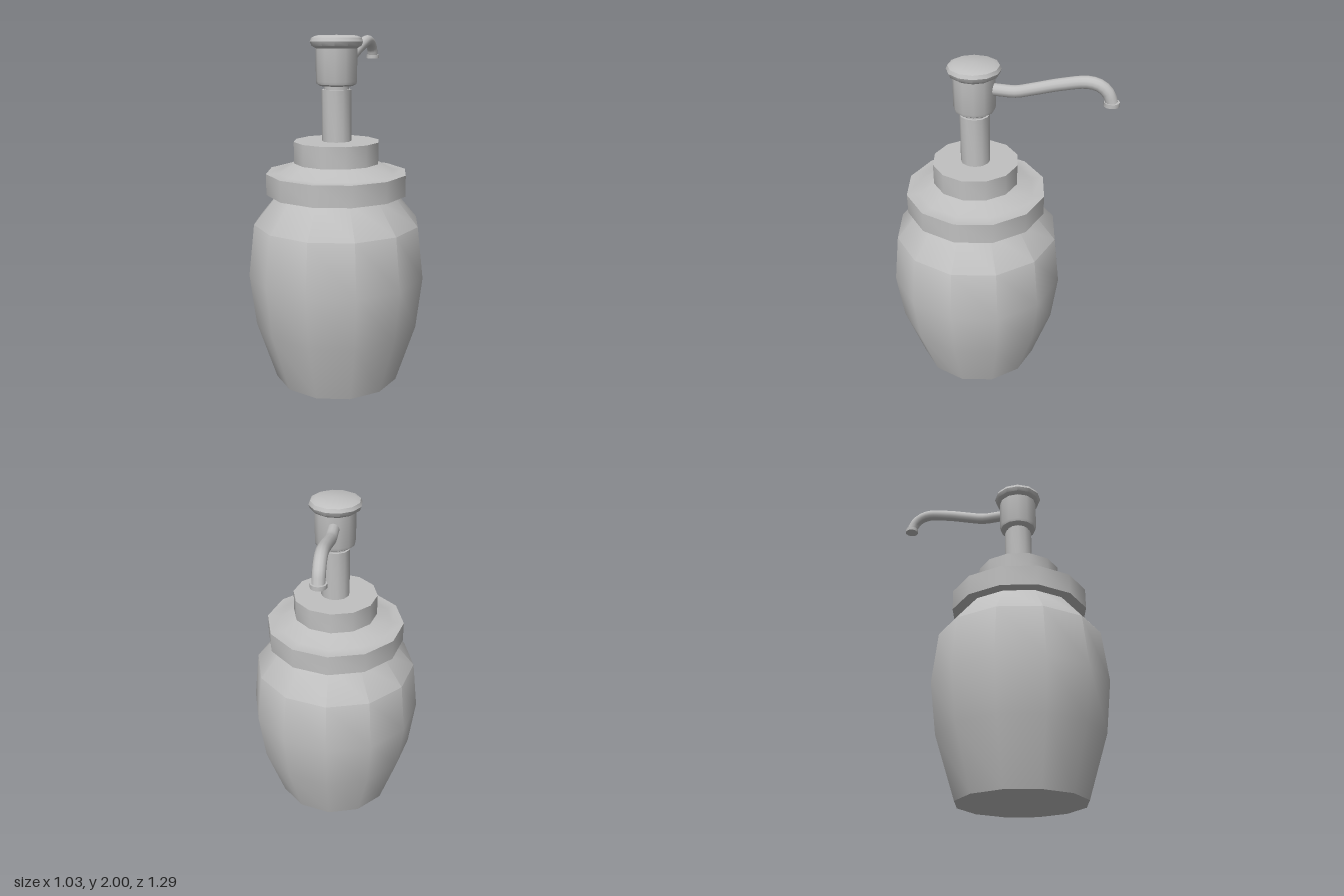
import * as THREE from 'three';
import { toCreasedNormals } from 'three/addons/utils/BufferGeometryUtils.js';

const grey = new THREE.MeshStandardMaterial({ color: 0xc0c0c0 });
grey.name = 'plain grey';

const AXIS_Z = 0.13; // the bottle stands forward of the centre, the spout reaches back

// Twelve-sided turned part, profile given bottom to top as [radius, height]
function turned(name, profile, turn = 0) {
  const points = profile.map(([r, y]) => new THREE.Vector2(r, y));
  const geometry = toCreasedNormals(new THREE.LatheGeometry(points, 12, turn), 0.72);
  const mesh = new THREE.Mesh(geometry, grey);
  mesh.name = name;
  mesh.position.z = AXIS_Z;
  return mesh;
}

export function createModel() {
  const group = new THREE.Group();
  group.name = 'soapDispenser';
  const half = Math.PI / 12;

  // Barrel-shaped bottle
  group.add(turned('bottle', [
    [0, 0], [0.367, 0], [0.48, 0.35], [0.515, 0.65], [0.48, 0.95], [0.335, 1.125], [0, 1.125],
  ]));

  // Screw collar with a sloping shoulder, and the cap above it
  group.add(turned('collar', [
    [0, 1.12], [0.405, 1.12], [0.405, 1.24], [0.335, 1.24], [0.235, 1.298], [0, 1.298],
  ]));
  group.add(turned('cap', [[0, 1.295], [0.245, 1.295], [0.245, 1.417], [0, 1.417]]));

  // Pump stem and its narrow neck
  group.add(turned('stem', [[0, 1.41], [0.083, 1.41], [0.083, 1.705], [0, 1.705]], half));
  group.add(turned('neck', [[0.07, 1.7], [0.07, 1.735]], half));

  // Pump head and rounded press knob
  group.add(turned('pumpHead', [
    [0, 1.725], [0.095, 1.725], [0.11, 1.734], [0.115, 1.75], [0.115, 1.94],
  ], half));
  group.add(turned('pressKnob', [
    [0, 1.928], [0.115, 1.928], [0.138, 1.942], [0.147, 1.965], [0.138, 1.985], [0.11, 1.997], [0, 2],
  ], half));

  // Curved spout
  const path = new THREE.CatmullRomCurve3([
    [1.862, 0.05], [1.862, -0.02], [1.865, -0.1], [1.89, -0.19], [1.935, -0.34],
    [1.963, -0.48], [1.948, -0.545], [1.908, -0.587], [1.865, -0.602],
  ].map(([y, z]) => new THREE.Vector3(0, y, z)));
  const spout = new THREE.Mesh(new THREE.TubeGeometry(path, 24, 0.033, 12), grey);
  spout.name = 'spout';
  group.add(spout);

  // Lip at the spout's mouth
  const lip = new THREE.Mesh(
    toCreasedNormals(new THREE.CylinderGeometry(0.041, 0.041, 0.022, 12), 0.72), grey);
  lip.name = 'spoutLip';
  lip.position.set(0, 1.861, -0.603);
  group.add(lip);

  return group;
}
